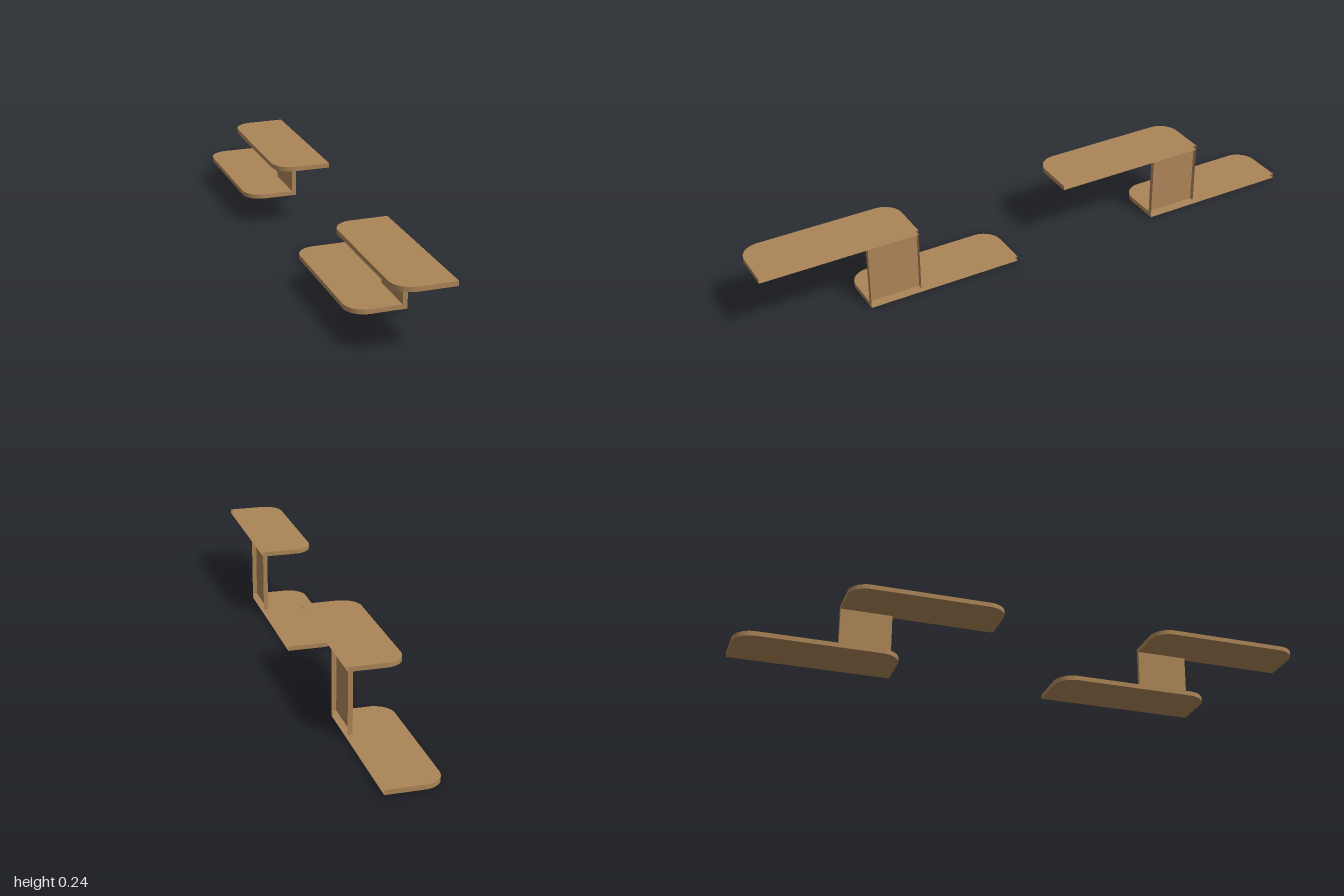
import * as THREE from 'three';
import { toCreasedNormals } from 'three/addons/utils/BufferGeometryUtils.js';

const HALF_W = 0.095;   // half shelf depth along x
const THICK = 0.016;    // board thickness
const HEIGHT = 0.243;   // overall height
const LENGTH = 0.545;   // shelf length along z
const OVERLAP = 0.18;   // length of the upright, where the shelves overlap
const RADIUS = 0.067;   // rounded shelf corners

// Leaves the wall side (x = HALF_W) of a board open
function openWallSide(geometry) {
  const source = geometry.index ? geometry.toNonIndexed() : geometry;
  const p = source.attributes.position;
  const kept = [];
  for (let i = 0; i < p.count; i += 3) {
    const onWall = [0, 1, 2].every((k) => p.getX(i + k) > HALF_W - 1e-4);
    if (onWall) continue;
    for (let k = 0; k < 3; k++) kept.push(p.getX(i + k), p.getY(i + k), p.getZ(i + k));
  }
  const open = new THREE.BufferGeometry();
  open.setAttribute('position', new THREE.Float32BufferAttribute(kept, 3));
  return toCreasedNormals(open, 0.6);
}

// Flat shelf with two rounded corners on its free side
function shelfGeometry() {
  const h = LENGTH / 2;
  const shape = new THREE.Shape();
  shape.moveTo(HALF_W, -h);
  shape.lineTo(HALF_W, h);
  shape.lineTo(-HALF_W + RADIUS, h);
  shape.absarc(-HALF_W + RADIUS, h - RADIUS, RADIUS, Math.PI / 2, Math.PI, false);
  shape.lineTo(-HALF_W, -h + RADIUS);
  shape.absarc(-HALF_W + RADIUS, -h + RADIUS, RADIUS, Math.PI, Math.PI * 1.5, false);
  shape.closePath();
  const geometry = new THREE.ExtrudeGeometry(shape, { depth: THICK, bevelEnabled: false, curveSegments: 12 });
  geometry.rotateX(-Math.PI / 2);
  return openWallSide(geometry);
}

// Upright board joining the shelves
function uprightGeometry() {
  const geometry = new THREE.BoxGeometry(THICK, HEIGHT - 2 * THICK, OVERLAP);
  geometry.translate(HALF_W - THICK / 2, HEIGHT / 2, 0);
  return openWallSide(geometry);
}

export function createModel() {
  const wood = new THREE.MeshStandardMaterial({ color: 0xab8457, side: THREE.DoubleSide });
  wood.name = 'wood';

  const model = new THREE.Group();
  model.name = 'wallShelves';
  const shelf = shelfGeometry();
  const upright = uprightGeometry();
  const shift = (LENGTH - OVERLAP) / 2;

  // Two equal stepped units, one behind the other
  for (const [name, z] of [['frontUnit', 0.545], ['backUnit', -0.545]]) {
    const unit = new THREE.Group();
    unit.name = name;
    unit.position.z = z;
    const add = (part, geometry, y, dz) => {
      const mesh = new THREE.Mesh(geometry, wood);
      mesh.name = part;
      mesh.position.set(0, y, dz);
      unit.add(mesh);
    };
    add('upperShelf', shelf, HEIGHT - THICK, shift);
    add('lowerShelf', shelf, 0, -shift);
    add('upright', upright, 0, 0);
    model.add(unit);
  }
  return model;
}
